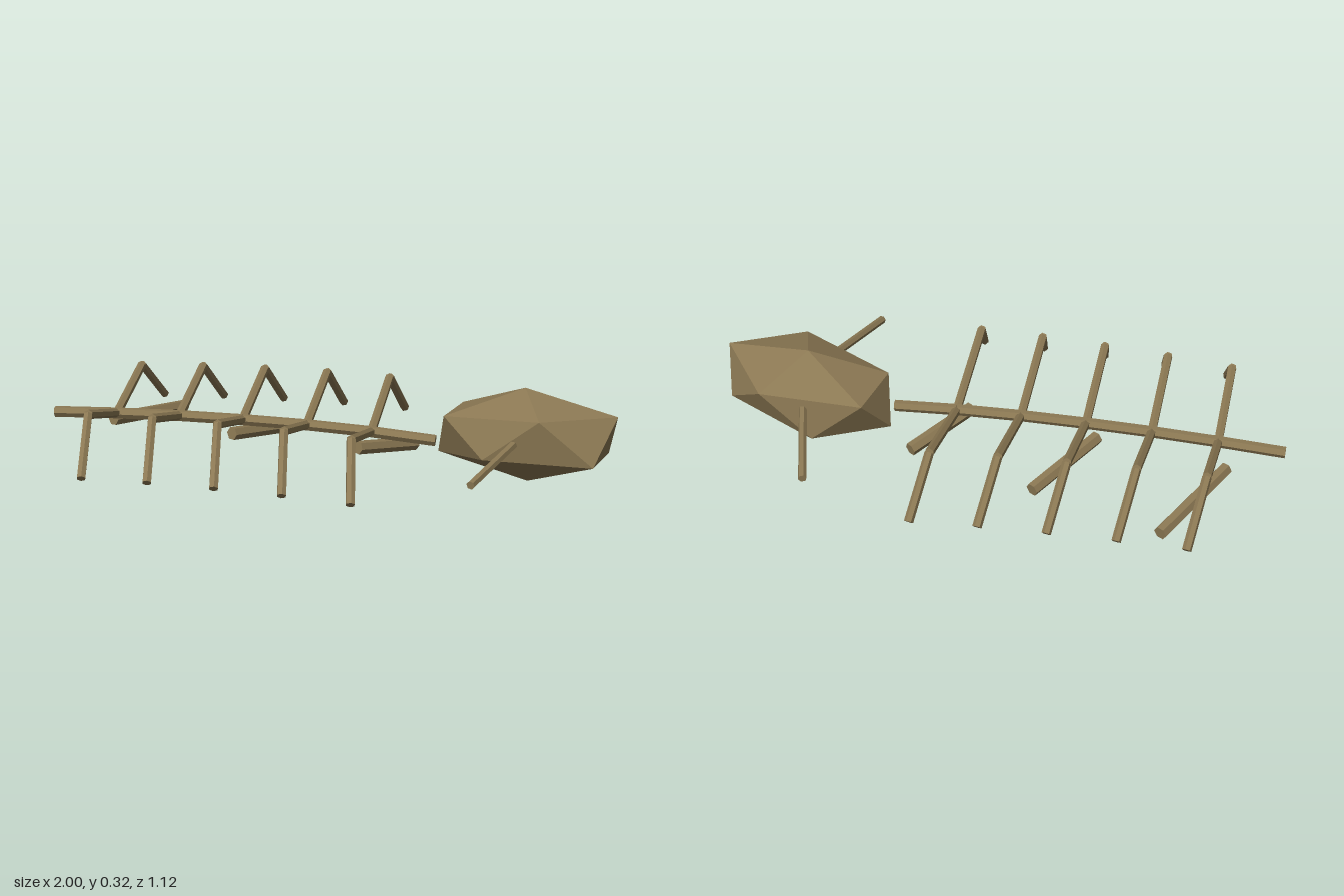
import * as THREE from 'three';
import { ConvexGeometry } from 'three/addons/geometries/ConvexGeometry.js';

export function createModel() {
  const model = new THREE.Group();
  model.name = 'skeletonRemains';
  const bone = new THREE.MeshStandardMaterial({ color: 0x8b7853, flatShading: true });
  bone.name = 'weathered brown';
  const V = (x, y, z) => new THREE.Vector3(x, y, z);

  // Six-sided rod between two points
  function rod(name, a, b, radius, parent = model) {
    const dir = b.clone().sub(a);
    const mesh = new THREE.Mesh(new THREE.CylinderGeometry(radius, radius, dir.length(), 6), bone);
    mesh.name = name;
    mesh.position.copy(a).add(b).multiplyScalar(0.5);
    mesh.quaternion.setFromUnitVectors(V(0, 1, 0), dir.normalize());
    parent.add(mesh);
  }

  // Gently arched spine
  const spine = new THREE.Group();
  spine.name = 'spine';
  model.add(spine);
  const arch = new THREE.CatmullRomCurve3([
    V(-1, 0.143, 0), V(-0.77, 0.151, 0), V(-0.54, 0.155, 0), V(-0.31, 0.154, 0),
    V(-0.08, 0.149, 0), V(0.15, 0.138, 0), V(0.375, 0.12, 0),
  ]);
  const joints = arch.points;
  for (let i = 0; i < joints.length - 1; i++) rod('spineSegment', joints[i], joints[i + 1], 0.02, spine);

  // Five pairs of bent ribs, widening toward the skull
  for (let i = 0; i < 5; i++) {
    const root = joints[i + 1];
    for (const side of [1, -1]) {
      const rib = new THREE.Group();
      rib.name = side > 0 ? 'frontRib' : 'backRib';
      model.add(rib);
      const knee = V(root.x, root.y + 0.091, side * (0.32 + 0.015 * i));
      const tip = V(root.x + 0.03, root.y - 0.074, side * (0.507 + 0.011 * i));
      rod('upperRib', root, knee, 0.016, rib);
      rod('lowerRib', knee, tip, 0.016, rib);
    }
  }

  // Loose sticks lying under the ribs
  rod('looseStick', V(-0.81, 0.102, -0.08), V(-0.64, 0.06, -0.42), 0.024);
  rod('looseStick', V(-0.35, 0.1, 0.0), V(-0.18, 0.057, -0.285), 0.024);
  rod('looseStick', V(0.115, 0.1, 0.07), V(0.28, 0.055, -0.155), 0.024);

  // Faceted skull: six corners and their opposites
  const corners = [
    V(-0.01, 0.16, -0.02), V(0.31, 0.096, 0.053), V(0.057, 0.1, 0.18),
    V(0.132, 0.049, -0.162), V(-0.28, 0.062, 0.045), V(-0.24, 0.053, -0.167),
  ];
  const skull = new THREE.Mesh(
    new ConvexGeometry(corners.flatMap((c) => [c, c.clone().negate()])), bone);
  skull.name = 'skull';
  skull.position.set(0.688, 0.162, 0);
  model.add(skull);

  // Horns sweeping out from both sides of the skull
  for (const side of [1, -1]) {
    rod(side > 0 ? 'frontHorn' : 'backHorn', V(0.68, 0.182, side * 0.1), V(0.56, 0.138, side * 0.497), 0.0145);
  }

  return model;
}
